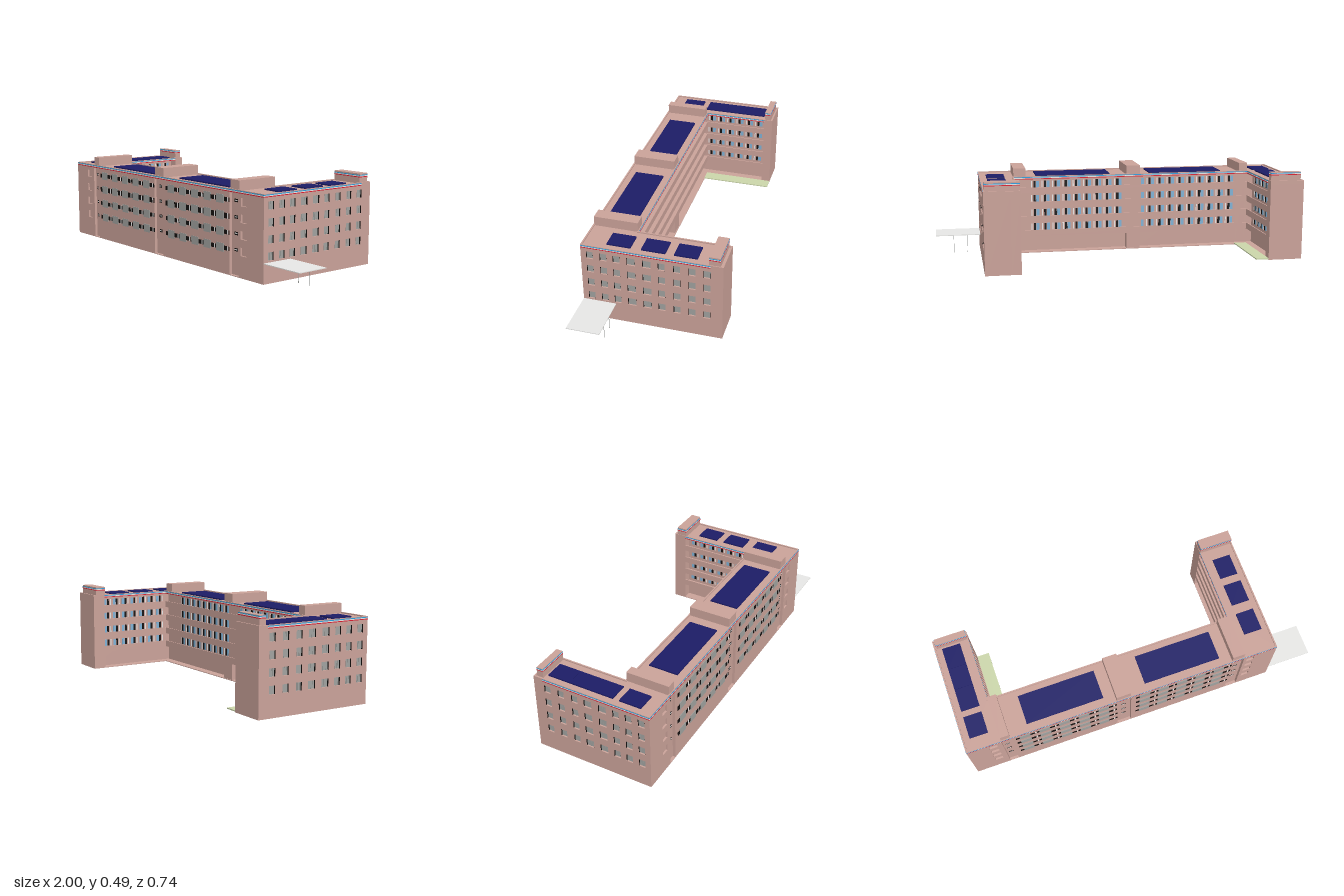
import * as THREE from 'three';
import { mergeGeometries } from 'three/addons/utils/BufferGeometryUtils.js';

const colour = (name, color) => {
  const m = new THREE.MeshStandardMaterial({ color });
  m.name = name;
  return m;
};

export function createModel() {
  const group = new THREE.Group();
  const wall = colour('wall', 0xcaa299), glass = colour('glass', 0xa0a29f);
  const dark = colour('darkOpening', 0x141110), white = colour('white', 0xf8f8f8);
  const solar = colour('solarBlue', 0x1c1c66), blue = colour('stripeBlue', 0x2a9fe0);
  const red = colour('stripeRed', 0xdc1c30), grass = colour('paleGreen', 0xcbd6aa);
  const canopy = colour('canopyGrey', 0xe8e8e6), pane = colour('paleBlueGlass', 0x7fb2d6);

  const addMesh = (name, geometry, mat) => {
    const m = new THREE.Mesh(geometry, mat);
    m.name = name;
    group.add(m);
  };

  // boxes given by their limits, gathered by part name and merged at the end
  const parts = new Map();
  const box = (name, mat, x0, x1, y0, y1, z0, z1) => {
    const g = new THREE.BoxGeometry(x1 - x0, y1 - y0, z1 - z0);
    g.translate((x0 + x1) / 2, (y0 + y1) / 2, (z0 + z1) / 2);
    if (!parts.has(name)) parts.set(name, { mat, list: [] });
    parts.get(name).list.push(g);
  };

  // U-shaped plan, inset by d
  const plan = d => [
    [-1 + d, 0.365 - d], [0.75 - d, 0.365 - d], [0.75 - d, -0.37 + d], [0.56 + d, -0.37 + d],
    [0.56 + d, 0.12 + d], [-0.81 - d, 0.12 + d], [-0.81 - d, -0.29 + d], [-1 + d, -0.29 + d],
  ].map(([x, z]) => new THREE.Vector2(x, -z));
  const slab = (name, y0, y1, inset) => {
    const shape = new THREE.Shape(plan(0));
    if (inset) shape.holes.push(new THREE.Path(plan(inset)));
    const g = new THREE.ExtrudeGeometry(shape, { depth: y1 - y0, bevelEnabled: false });
    addMesh(name, g.rotateX(-Math.PI / 2).translate(0, y0, 0), wall);
  };
  slab('basePlate', 0, 0.004);
  slab('roofSlab', 0.422, 0.435);
  slab('roofRim', 0.435, 0.441, 0.008);

  // wall skin 0.01 thick with window holes; u runs to the right along the wall
  const rect = (Type, u0, u1, v0, v1) =>
    new Type([[u0, v0], [u1, v0], [u1, v1], [u0, v1]].map(p => new THREE.Vector2(...p)));
  const rows = [0.134, 0.217, 0.3, 0.383];
  const skin = (u0, u1, windows) => {
    const shape = rect(THREE.Shape, u0, u1, 0.004, 0.422);
    for (const y of rows)
      for (const [u, w] of windows)
        shape.holes.push(rect(THREE.Path, u - w / 2, u + w / 2, y - 0.021, y + 0.021));
    return new THREE.ExtrudeGeometry(shape, { depth: 0.01, bevelEnabled: false });
  };
  const sideZ = [0.318, 0.247, 0.178, 0.102, 0.02, -0.056, -0.135, -0.213, -0.289];
  const sideWindows = sideZ.map((z, i) => [z, i === 3 || i === 4 ? 0.044 : 0.036]);
  const leftWindows = sideWindows.slice(0, 8);
  const flip = list => list.map(([z, w]) => [-z, w]);
  addMesh('rightWingWall', skin(-0.355, 0.37, flip(sideWindows)).rotateY(Math.PI / 2).translate(0.74, 0, 0), wall);
  addMesh('leftWingWall', skin(-0.355, 0.29, flip(leftWindows)).rotateY(Math.PI / 2).translate(-1, 0, 0), wall);
  addMesh('leftWingFront', skin(-1, -0.81, [[-0.86, 0.044]]).translate(0, 0, 0.355), wall);
  addMesh('rightWingFront', skin(0.56, 0.75, [[0.6, 0.044]]).translate(0, 0, 0.355), wall);

  // glazing set back in the holes, with thin bars and dark jambs
  for (const y of rows) {
    for (const [x, list] of [[0.74, sideWindows], [-0.99, leftWindows]]) {
      const sheet = (name, mat, t, z, w) =>
        box(name, mat, x - t, x + t, y - 0.021, y + 0.021, z - w / 2, z + w / 2);
      for (const [z, w] of list) {
        sheet('sideGlass', glass, 0.002, z, w);
        for (let i = 1; i < 4; i++) sheet('windowBars', glass, 0.003, z + w * (i / 4 - 0.5), 0.0015);
        for (const e of [-1, 1]) sheet('windowJambs', dark, 0.009, z + e * (w / 2 - 0.0004), 0.0008);
      }
    }
  }

  // solid rooms behind the galleries, and closed ends of the wings
  box('wings', wall, -0.99, -0.86, 0.004, 0.422, -0.29, 0.355);
  box('wings', wall, -0.86, -0.81, 0.004, 0.422, -0.29, -0.24);
  box('wings', wall, 0.61, 0.74, 0.004, 0.422, -0.37, 0.355);
  box('wings', wall, 0.56, 0.61, 0.004, 0.422, -0.37, -0.3);
  box('wings', wall, -0.86, -0.81, 0.004, 0.422, 0.17, 0.355);
  box('wings', wall, 0.56, 0.61, 0.004, 0.422, 0.17, 0.355);
  const bars = [[-0.76, -0.168], [-0.088, 0.492]];
  for (const [a, b] of bars) box('mainBar', wall, a, b, 0.004, 0.422, 0.17, 0.365);

  // recessed stair cores rising above the roof
  const cores = [[-0.81, -0.76], [-0.168, -0.088], [0.492, 0.56]];
  for (const [a, b] of cores) {
    box('stairCores', wall, a, b, 0.004, 0.422, 0.17, 0.35);
    box('stairCores', wall, a, b, 0.435, 0.487, 0.125, 0.36);
  }
  box('stairCores', wall, -0.168, -0.088, 0.004, 0.095, 0.125, 0.17);

  // open galleries round the courtyard
  for (let k = 0; k < 4; k++) {
    const y = 0.095 + 0.082 * k;
    const floor = (x0, x1, z0, z1) => box('galleryFloors', wall, x0, x1, y, y + 0.008, z0, z1);
    const rail = (x0, x1, z0, z1) => box('galleryParapets', wall, x0, x1, y, y + 0.036, z0, z1);
    floor(-0.86, 0.61, 0.12, 0.17);
    floor(-0.86, -0.81, -0.24, 0.12);
    floor(0.56, 0.61, -0.3, 0.12);
    rail(-0.81, 0.56, 0.12, 0.126);
    rail(-0.816, -0.81, -0.24, 0.126);
    rail(0.56, 0.566, -0.3, 0.126);
    // gallery windows: blue, dark and white lights in turn
    const kinds = [['galleryGlass', pane, 0.017], ['galleryDark', dark, 0.012], ['galleryFrames', white, 0.006]];
    const yb = y + 0.026, yt = y + 0.066;
    for (const [a, b] of bars) {
      for (let i = 0, x = a + 0.02; x < b - 0.02; x += 0.02, i++) {
        const [n, m, w] = kinds[i % 3];
        box(n, m, x, x + w, yb, yt, 0.168, 0.17);
      }
    }
    for (let i = 0, z = -0.28; z < 0.13; z += 0.02, i++) {
      const [n, m, w] = kinds[i % 3];
      box(n, m, 0.608, 0.61, yb, yt, z, z + w);
      if (z > -0.23) box(n, m, -0.86, -0.858, yb, yt, z, z + w);
    }
  }

  // front bays with dark and white lights between them
  rows.forEach((y, k) => {
    for (const [first, step] of [[-0.685, 0.11], [-0.01, 0.1065]]) {
      const h = k === 2 ? 0.014 : 0.011;
      const light = (name, mat, x0, x1) => box(name, mat, x0, x1, y - h, y + h, 0.365, 0.366);
      for (let i = 0; i < 5; i++) {
        const x = first + step * i;
        box('frontBays', glass, x - 0.03, x + 0.03, y - 0.022, y + 0.022, 0.365, 0.3675);
        light('frontDarkLights', dark, x + 0.03, x + 0.056);
        light('frontWhiteLights', white, x + 0.056, x + 0.064);
        light('frontDarkLights', dark, x + 0.066, x + (i < 4 ? step - 0.03 : 0.076));
      }
      light('frontDarkLights', dark, first - 0.05, first - 0.03);
    }
    // stair lights
    for (const [a, b] of cores) {
      const c = (a + b) / 2;
      box('stairLights', dark, c - 0.012, c + 0.012, y - 0.008, y + 0.008, 0.35, 0.351);
      box('stairLightFrames', white, c - 0.01, c + 0.01, y - 0.002, y + 0.003, 0.35, 0.352);
    }
  });

  // blue, white and red bands along the roof edge and round the end towers
  const bands = [['blueBand', blue, 0.009], ['whiteBand', white, 0.0045], ['redBand', red, 0]];
  const t = 0.0008;
  for (const [n, m, dy] of bands) {
    const y0 = 0.4245 + dy, y1 = y0 + 0.004;
    box(n, m, -1, 0.75, y0, y1, 0.365, 0.365 + t);
    box(n, m, 0.75, 0.75 + t, y0, y1, -0.305, 0.365);
    box(n, m, -1 - t, -1, y0, y1, -0.24, 0.365);
    box(n, m, -0.81, 0.56, y0, y1, 0.12 - t, 0.12);
    box(n, m, -0.81, -0.81 + t, y0, y1, -0.24, 0.12);
    box(n, m, 0.56 - t, 0.56, y0, y1, -0.3, 0.12);
  }
  const towers = [[-0.985, -0.815, -0.278, -0.242, 0.471], [0.562, 0.745, -0.353, -0.296, 0.467]];
  for (const [a, b, c, d, y] of towers) {
    box('endTowers', wall, a, b, 0.435, 0.487, c, d);
    for (const [n, m, dy] of bands) box(n, m, a - t, b + t, y + dy, y + dy + 0.004, c - t, d + t);
  }

  // solar panels
  const panels = [
    [-0.96, -0.86, -0.23, -0.106], [-0.96, -0.86, -0.105, 0.0145], [-0.96, -0.86, 0.0155, 0.14],
    [-0.96, -0.86, 0.175, 0.295], [0.61, 0.71, -0.23, -0.11], [0.61, 0.71, -0.065, 0.06],
    [0.61, 0.71, 0.115, 0.24], [-0.655, -0.23, 0.16, 0.32], [0.005, 0.43, 0.16, 0.32],
  ];
  for (const [a, b, c, d] of panels) box('solarPanels', solar, a, b, 0.435, 0.442, c, d);

  // side canopy on posts, and the courtyard lawn
  box('canopyRoof', canopy, 0.75, 1, 0.101, 0.105, 0.19, 0.365);
  for (const x of [0.825, 0.9]) box('canopyPosts', glass, x - 0.001, x + 0.001, 0, 0.101, 0.203, 0.205);
  box('lawn', grass, -0.81, -0.74, 0.004, 0.01, -0.29, 0.12);

  for (const [name, { mat, list }] of parts) addMesh(name, mergeGeometries(list), mat);
  return group;
}
